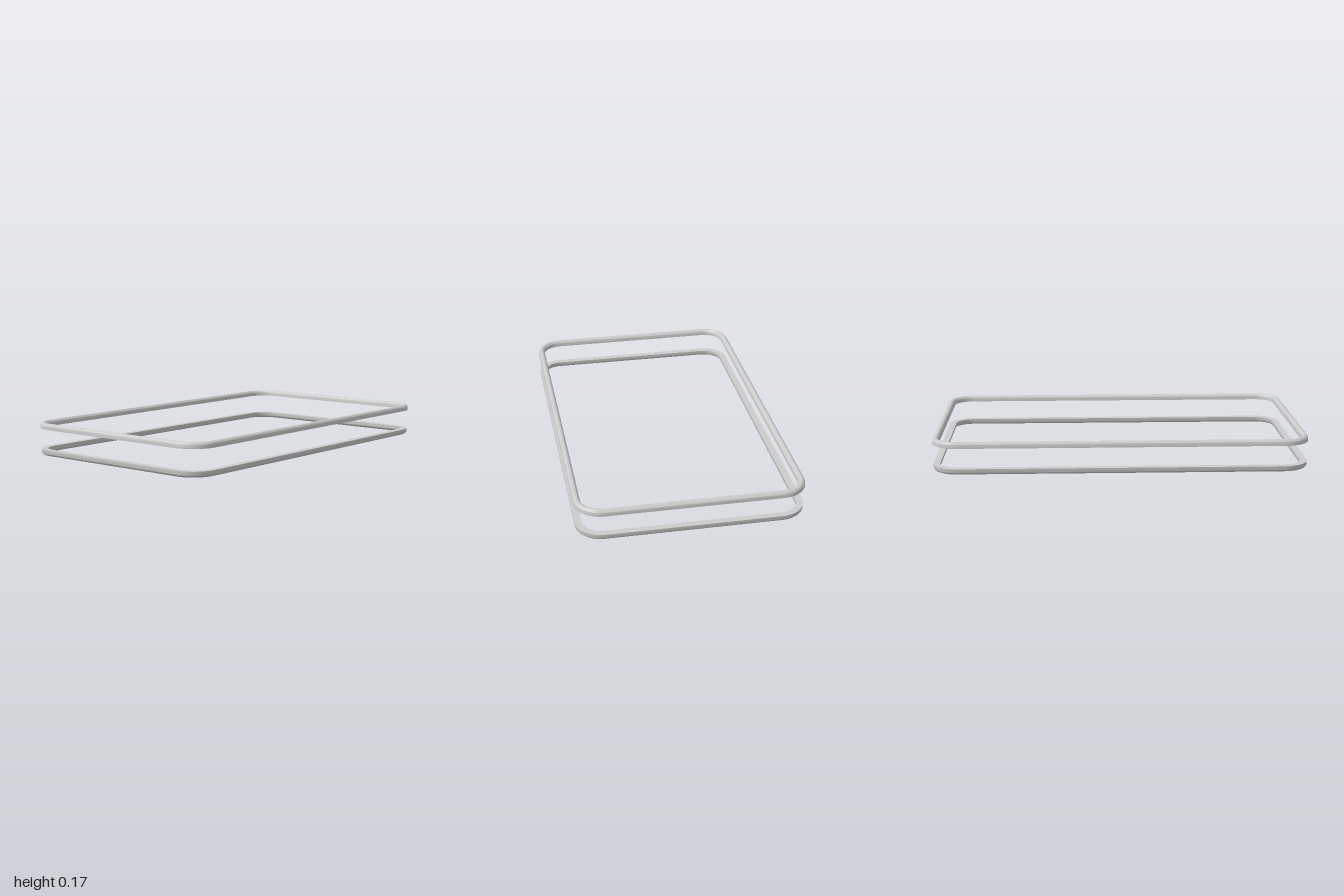
import * as THREE from 'three';
import { toCreasedNormals } from 'three/addons/utils/BufferGeometryUtils.js';

const WIDTH = 0.036, HEIGHT = 0.032;

// D-shaped section: flat base, short upright sides, round dome; flipped when the flat faces up
function section(flip) {
  const r = WIDTH / 2, side = HEIGHT - r, pts = [[-WIDTH, 0], [0, 0]];
  for (let i = 0; i <= 12; i++) {
    const a = (i / 12) * Math.PI;
    pts.push([-r + r * Math.cos(a), side + r * Math.sin(a)]);
  }
  return flip ? pts.map(([o, v]) => [o, HEIGHT - v]).reverse() : pts;
}

// Sweep the section around a rounded rectangle of the given outer half sizes
function ringGeometry(halfX, halfZ, radius, flip) {
  const profile = section(flip), n = profile.length, steps = 12;
  const positions = [], index = [];
  for (let corner = 0; corner < 4; corner++) {
    const cx = (corner === 0 || corner === 3 ? 1 : -1) * (halfX - radius);
    const cz = (corner < 2 ? 1 : -1) * (halfZ - radius);
    for (let s = 0; s <= steps; s++) {
      const a = (corner + s / steps) * Math.PI / 2;
      for (const [o, v] of profile) {
        positions.push(cx + (radius + o) * Math.cos(a), v, cz + (radius + o) * Math.sin(a));
      }
    }
  }
  const rows = 4 * (steps + 1);
  for (let i = 0; i < rows; i++) {
    for (let j = 0; j < n; j++) {
      const k = (j + 1) % n, next = (i + 1) % rows;
      const a = i * n + j, b = i * n + k, c = next * n + k, d = next * n + j;
      index.push(a, b, d, b, c, d);
    }
  }
  const geometry = new THREE.BufferGeometry();
  geometry.setAttribute('position', new THREE.Float32BufferAttribute(positions, 3));
  geometry.setIndex(index);
  return toCreasedNormals(geometry, 0.7);
}

export function createModel() {
  const model = new THREE.Group();
  model.name = 'doubleFrame';
  const material = new THREE.MeshStandardMaterial({ color: 0xcccccc });
  const addRing = (name, y, halfX, halfZ, radius, flip) => {
    const mesh = new THREE.Mesh(ringGeometry(halfX, halfZ, radius, flip), material);
    mesh.name = name;
    mesh.position.y = y;
    model.add(mesh);
  };

  // Upper trim with its dome up, lower trim with its dome down
  addRing('upperTrim', 0.143, 0.597, 1, 0.14, false);
  addRing('lowerTrim', 0, 0.593, 0.996, 0.136, true);
  return model;
}
